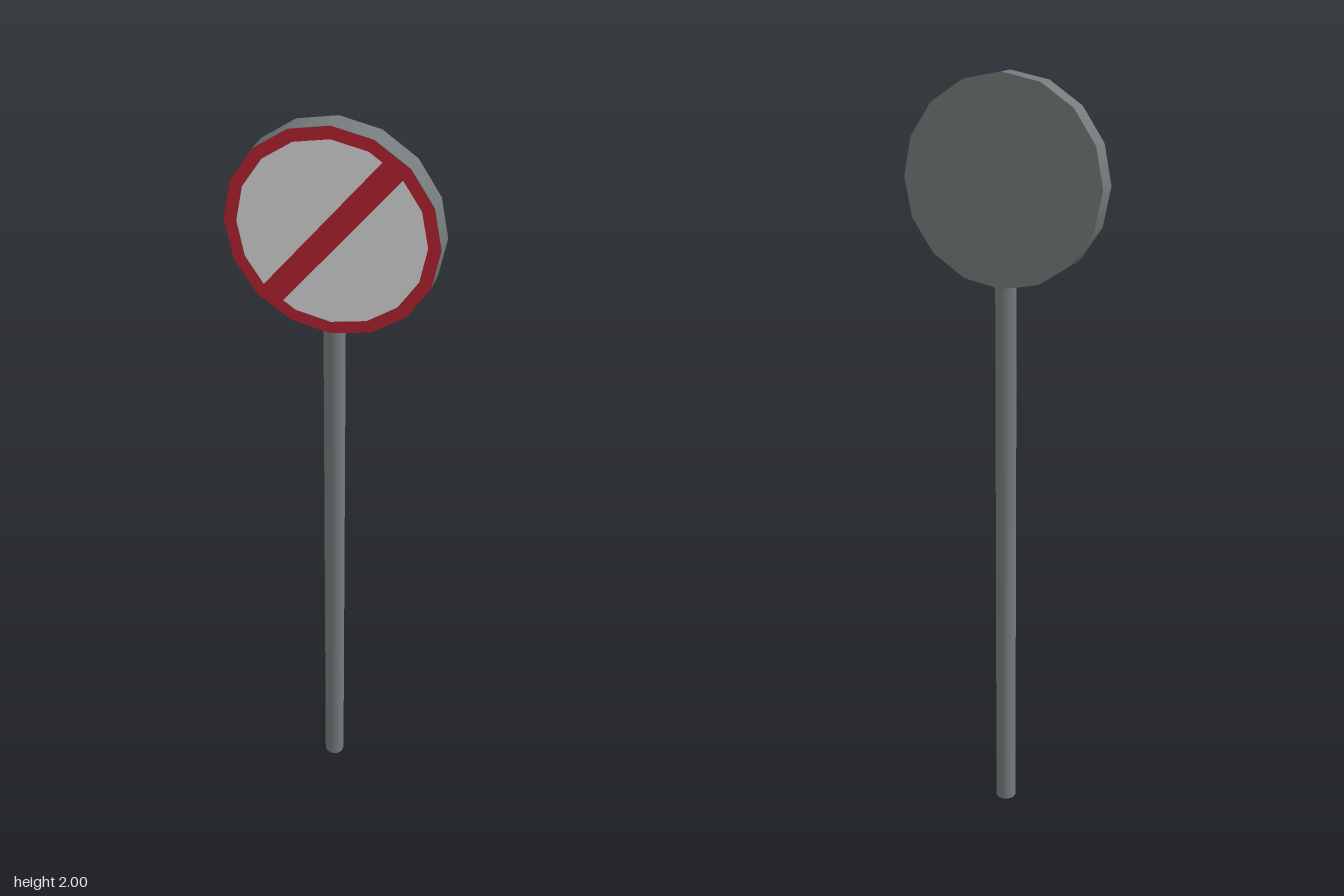
import * as THREE from 'three';

const SIDES = 16;
const RADIUS = 0.262;
const INNER = 0.231;
const CENTRE_Y = 2 - RADIUS;
const FRONT = 0.031;

// Regular polygon with a corner at the top
function polygon(radius) {
  const points = [];
  for (let i = 0; i < SIDES; i++) {
    const a = Math.PI / 2 + (i / SIDES) * Math.PI * 2;
    points.push(new THREE.Vector2(Math.cos(a) * radius, Math.sin(a) * radius));
  }
  return points;
}

export function createModel() {
  const metal = new THREE.MeshStandardMaterial({ name: 'greyMetal', color: 0x747c7b });
  const red = new THREE.MeshStandardMaterial({ name: 'signRed', color: 0xbe2434 });
  const white = new THREE.MeshStandardMaterial({ name: 'signWhite', color: 0xe6e6e6 });

  const model = new THREE.Group();
  model.name = 'roadSign';

  function add(name, geometry, material, parent) {
    const mesh = new THREE.Mesh(geometry, material);
    mesh.name = name;
    parent.add(mesh);
    return mesh;
  }

  // Pole, ending just inside the disc
  const poleHeight = 1.49;
  const pole = add('pole', new THREE.CylinderGeometry(0.027, 0.027, poleHeight, 10), metal, model);
  pole.position.y = poleHeight / 2;

  const sign = new THREE.Group();
  sign.name = 'sign';
  sign.position.y = CENTRE_Y;
  model.add(sign);

  // Thick disc, with its flat sides facing front and back
  const disc = new THREE.CylinderGeometry(RADIUS, RADIUS, 0.06, SIDES);
  disc.rotateX(Math.PI / 2);
  add('disc', disc, metal, sign).position.z = -0.001;

  // Painted front: white face, red rim and red diagonal bar
  const face = new THREE.ShapeGeometry(new THREE.Shape(polygon(INNER)));
  add('face', face, white, sign).position.z = FRONT - 0.001;

  const rimShape = new THREE.Shape(polygon(RADIUS));
  rimShape.holes.push(new THREE.Path(polygon(INNER)));
  add('rim', new THREE.ShapeGeometry(rimShape), red, sign).position.z = FRONT;

  const bar = add('diagonalBar', new THREE.PlaneGeometry(0.468, 0.06), red, sign);
  bar.position.z = FRONT;
  bar.rotation.z = THREE.MathUtils.degToRad(50.5);

  return model;
}
